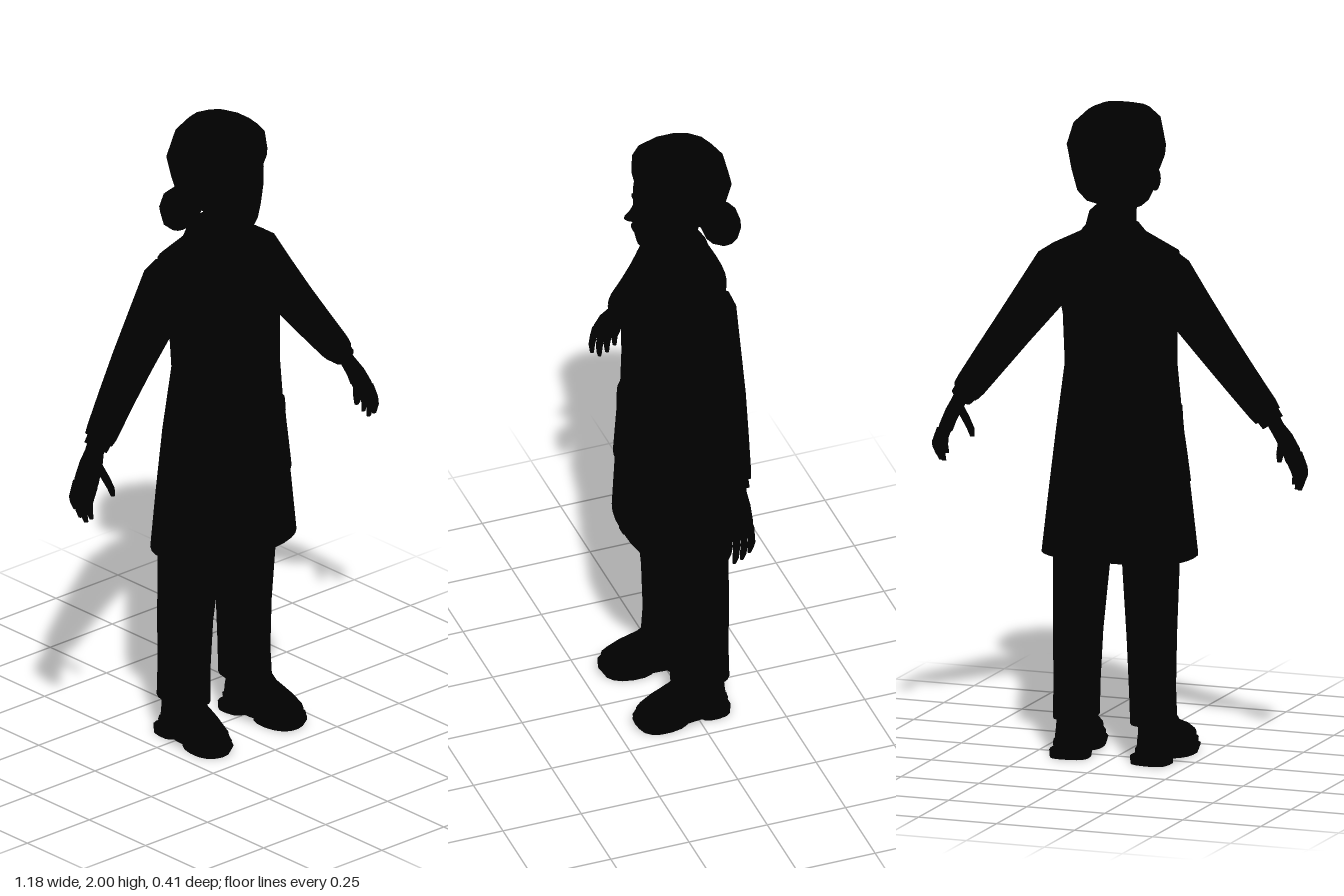
import * as THREE from 'three';

const black = new THREE.MeshStandardMaterial({ color: 0x000000, side: THREE.DoubleSide });
black.name = 'black';

function mesh(name, geometry, parent) {
  const m = new THREE.Mesh(geometry, black);
  m.name = name;
  parent.add(m);
  return m;
}

// Skin through superellipse rings [x, y, z, rx, rz, tilt], bottom to top; tilt lifts the front.
function loft(rings, { n = 16, p = 2.3, bottom = true, top = true } = {}) {
  const pos = [], idx = [];
  const pw = v => Math.sign(v) * Math.abs(v) ** (2 / p);
  for (const [x, y, z, rx, rz, tilt = 0] of rings) {
    for (let i = 0; i < n; i++) {
      const a = (i / n) * Math.PI * 2, s = pw(Math.cos(a));
      pos.push(x + rx * pw(Math.sin(a)), y + tilt * s, z + rz * s);
    }
  }
  for (let r = 0; r < rings.length - 1; r++) {
    for (let i = 0; i < n; i++) {
      const j = (i + 1) % n, a = r * n + i, b = r * n + j;
      idx.push(a, b, b + n, a, b + n, a + n);
    }
  }
  const cap = (r, up) => {
    const c = pos.length / 3, [x, y, z] = rings[r];
    pos.push(x, y, z);
    for (let i = 0; i < n; i++) {
      const a = r * n + i, b = r * n + (i + 1) % n;
      idx.push(c, up ? a : b, up ? b : a);
    }
  };
  if (bottom) cap(0, false);
  if (top) cap(rings.length - 1, true);
  const g = new THREE.BufferGeometry();
  g.setAttribute('position', new THREE.Float32BufferAttribute(pos, 3));
  g.setIndex(idx);
  g.computeVertexNormals();
  return g;
}

const COAT_P = 2.5;
const coatRings = [
  [0, 0.62, 0.02, 0.237, 0.16], [0, 0.8, 0.02, 0.215, 0.155], [0, 1.0, 0.02, 0.19, 0.145],
  [0, 1.2, 0.03, 0.167, 0.132], [0, 1.35, 0.024, 0.17, 0.139], [0, 1.45, 0.01, 0.185, 0.13],
  [0, 1.51, -0.005, 0.2, 0.115], [0, 1.56, -0.022, 0.2, 0.097], [0, 1.61, -0.02, 0.1, 0.06],
];

// Depth of the coat surface at x, y; side is 1 for the front and -1 for the back.
function coatZ(x, y, side) {
  let i = 0;
  while (i < coatRings.length - 2 && y > coatRings[i + 1][1]) i++;
  const a = coatRings[i], b = coatRings[i + 1];
  const t = THREE.MathUtils.clamp((y - a[1]) / (b[1] - a[1]), 0, 1);
  const [, , cz, rx, rz] = a.map((v, k) => v + (b[k] - v) * t);
  const u = Math.min(Math.abs(x) / rx, 0.995);
  return cz + side * rz * (1 - u ** COAT_P) ** (1 / COAT_P);
}

// Thin plate lying on the coat; corners bottom-left, bottom-right, top-right, top-left.
function plate(corners, lift = 0.008, side = 1) {
  const g = new THREE.BoxGeometry(1, 1, 1, 6, 6, 1), P = g.attributes.position;
  const [a, b, c, d] = corners;
  for (let i = 0; i < P.count; i++) {
    const u = P.getX(i) + 0.5, v = P.getY(i) + 0.5;
    const at = k => (a[k] * (1 - u) + b[k] * u) * (1 - v) + (d[k] * (1 - u) + c[k] * u) * v;
    const x = at(0), y = at(1);
    P.setXYZ(i, x, y, coatZ(x, y, side) + side * (P.getZ(i) > 0 ? lift : -0.002));
  }
  g.computeVertexNormals();
  return g;
}

function addCoat(model) {
  const coat = new THREE.Group();
  coat.name = 'coat';
  model.add(coat);
  mesh('coatBody', loft(coatRings, { n: 32, p: COAT_P, bottom: false }), coat);
  mesh('coatCollar', loft([[0, 1.575, -0.01, 0.125, 0.085, -0.015], [0, 1.61, -0.012, 0.1, 0.072, -0.025],
    [0, 1.645, -0.01, 0.068, 0.052, -0.02]], { n: 20, bottom: false, top: false }), coat);
  mesh('frontOverlap', plate([[-0.015, 0.625], [0.02, 0.625], [0.02, 1.38], [-0.015, 1.38]], 0.005), coat);
  mesh('backVent', plate([[-0.02, 0.62], [0.012, 0.62], [0.012, 0.98], [-0.02, 0.98]], 0.006, -1), coat);
  for (let i = 0; i < 4; i++) {
    const button = mesh('button', new THREE.CylinderGeometry(0.011, 0.011, 0.008, 10), coat);
    const y = 0.92 + i * 0.14;
    button.rotation.x = Math.PI / 2;
    button.position.set(0.002, y, coatZ(0, y, 1) + 0.006);
  }
  mesh('tie', plate([[-0.015, 1.39], [0.015, 1.39], [0.02, 1.57], [-0.02, 1.57]], 0.009), coat);
  mesh('tieKnot', new THREE.SphereGeometry(0.02, 8, 6), coat).position.set(0, 1.595, 0.048);
}

function addSide(side) {
  // Coat details
  mesh('lapel', plate([[0.0, 1.37], [0.02, 1.39], [0.125, 1.505], [0.045, 1.575]], 0.009), side);
  mesh('lapelCollar', plate([[0.045, 1.545], [0.1, 1.535], [0.115, 1.575], [0.05, 1.595]], 0.009), side);
  mesh('pocket', plate([[0.085, 0.84], [0.2, 0.84], [0.182, 1.06], [0.085, 1.06]], 0.008), side);
  mesh('pocketFlap', plate([[0.082, 1.03], [0.185, 1.03], [0.182, 1.065], [0.082, 1.065]], 0.0095), side);

  // Sleeve, built hanging down and swung outward
  const arm = new THREE.Group();
  arm.name = 'arm';
  arm.position.set(0.17, 1.49, 0);
  arm.rotation.z = 0.653;
  side.add(arm);
  mesh('sleeve', loft([[0, -0.515, -0.003, 0.043, 0.044], [0, -0.49, -0.004, 0.047, 0.048],
    [0, -0.38, -0.015, 0.054, 0.054], [0, -0.26, -0.024, 0.061, 0.063], [0, -0.12, -0.03, 0.071, 0.072],
    [0, 0, -0.033, 0.08, 0.082], [0, 0.045, -0.033, 0.064, 0.07], [0, 0.07, -0.033, 0.03, 0.035]], { n: 14 }), arm);
  mesh('shirtCuff', loft([[0, -0.54, 0, 0.035, 0.037], [0, -0.5, 0, 0.037, 0.04]], { n: 14 }), arm);

  // Hand with slightly curled fingers
  const hand = new THREE.Group();
  hand.name = 'hand';
  side.add(hand);
  mesh('palm', loft([[0.558, 0.945, 0.018, 0.016, 0.045], [0.55, 0.975, 0.018, 0.02, 0.048],
    [0.527, 1.02, 0.012, 0.023, 0.042], [0.505, 1.055, 0.004, 0.024, 0.03],
    [0.485, 1.09, 0, 0.026, 0.03]], { n: 10 }), hand);
  for (let i = 0; i < 4; i++) {
    const z = 0.054 - i * 0.024, tip = [0.87, 0.852, 0.86, 0.88][i];
    mesh('finger', loft([[0.57, tip, z + 0.008, 0.007, 0.006], [0.577, tip + 0.025, z + 0.006, 0.011, 0.01],
      [0.575, 0.92, z + 0.002, 0.013, 0.011], [0.556, 0.965, z, 0.015, 0.012]], { n: 7, p: 2 }), hand);
  }
  mesh('thumb', loft([[0.492, 0.925, 0.07, 0.007, 0.007], [0.496, 0.95, 0.066, 0.012, 0.011],
    [0.508, 0.985, 0.053, 0.014, 0.013], [0.522, 1.03, 0.028, 0.015, 0.016]], { n: 7, p: 2 }), hand);

  // Trouser leg
  mesh('trouserLeg', loft([[0.124, 0.12, -0.02, 0.063, 0.09], [0.121, 0.22, -0.022, 0.064, 0.086],
    [0.118, 0.38, -0.02, 0.069, 0.09], [0.11, 0.62, -0.007, 0.08, 0.103],
    [0.095, 0.95, 0.01, 0.088, 0.1]], { n: 18, p: 2.4 }), side);

  // Shoe, toe turned a little outward
  const shoe = new THREE.Group();
  shoe.name = 'shoe';
  shoe.position.x = 0.135;
  shoe.rotation.y = 0.1;
  side.add(shoe);
  mesh('shoeUpper', loft([[0, 0.03, 0.048, 0.062, 0.148], [0, 0.065, 0.046, 0.06, 0.145],
    [0, 0.088, 0.028, 0.055, 0.123], [0, 0.112, -0.003, 0.05, 0.09],
    [0, 0.16, -0.025, 0.045, 0.06]], { n: 18 }), shoe);
  mesh('sole', loft([[0, 0.02, 0.048, 0.066, 0.15], [0, 0.042, 0.048, 0.067, 0.154]], { n: 20 }), shoe);
  mesh('frontSole', loft([[0, 0.0, 0.105, 0.06, 0.08], [0, 0.024, 0.11, 0.066, 0.09]], { n: 16 }), shoe);
  mesh('heel', loft([[0, 0, -0.052, 0.06, 0.053], [0, 0.024, -0.052, 0.062, 0.054]], { n: 16, p: 3 }), shoe);

  // Ear and eye
  const ear = mesh('ear', new THREE.SphereGeometry(0.03, 8, 6), side);
  ear.scale.set(0.5, 1.2, 0.8);
  ear.position.set(0.12, 1.775, 0.005);
  const eye = mesh('eye', new THREE.SphereGeometry(0.018, 8, 6), side);
  eye.scale.set(1, 0.55, 0.25);
  eye.position.set(0.046, 1.805, 0.126);
}

function addHead(model) {
  const head = new THREE.Group();
  head.name = 'head';
  model.add(head);
  mesh('neck', loft([[0, 1.57, -0.008, 0.066, 0.054], [0, 1.63, 0.006, 0.054, 0.046],
    [0, 1.72, 0.02, 0.052, 0.05]], { n: 14 }), head);
  mesh('shirtCollar', loft([[0, 1.58, 0, 0.076, 0.058], [0, 1.635, 0.004, 0.06, 0.05, -0.012]],
    { n: 14, bottom: false, top: false }), head);
  mesh('face', loft([[0, 1.668, 0.095, 0.04, 0.036], [0, 1.69, 0.068, 0.068, 0.068],
    [0, 1.73, 0.038, 0.094, 0.098], [0, 1.78, 0.018, 0.113, 0.118],
    [0, 1.84, 0.01, 0.12, 0.124], [0, 1.92, 0.005, 0.115, 0.12]], { n: 16 }), head);
  mesh('nose', loft([[0, 1.755, 0.135, 0.014, 0.012], [0, 1.768, 0.148, 0.019, 0.027],
    [0, 1.79, 0.138, 0.011, 0.02], [0, 1.825, 0.128, 0.008, 0.008]], { n: 8 }), head);
  const lips = mesh('lips', new THREE.SphereGeometry(0.03, 10, 6), head);
  lips.scale.set(1, 0.45, 0.5);
  lips.position.set(0, 1.725, 0.134);

  // Hair swept back from a raised fringe into a low tail
  mesh('hair', loft([[0, 1.79, 0.008, 0.127, 0.126, 0.08], [0, 1.835, 0.0, 0.143, 0.138, 0.045],
    [0, 1.875, -0.009, 0.149, 0.149, 0.015], [0, 1.94, 0, 0.131, 0.14, 0.012],
    [0, 1.977, 0.012, 0.09, 0.11], [0, 2.0, -0.01, 0.04, 0.035]], { n: 14, p: 2.1 }), head);
  mesh('hairTie', loft([[-0.015, 1.69, -0.115, 0.035, 0.03], [-0.01, 1.74, -0.085, 0.04, 0.035]], { n: 10 }), head);
  mesh('ponytail', loft([[-0.025, 1.587, -0.15, 0.025, 0.018], [-0.025, 1.61, -0.146, 0.054, 0.048],
    [-0.025, 1.655, -0.143, 0.068, 0.063], [-0.025, 1.7, -0.138, 0.058, 0.052],
    [-0.025, 1.728, -0.13, 0.028, 0.025]], { n: 10, p: 2 }), head);
}

export function createModel() {
  const model = new THREE.Group();
  model.name = 'figure';
  addCoat(model);
  addHead(model);
  for (const [name, s] of [['leftSide', 1], ['rightSide', -1]]) {
    const side = new THREE.Group();
    side.name = name;
    side.scale.x = s;
    addSide(side);
    model.add(side);
  }
  return model;
}
